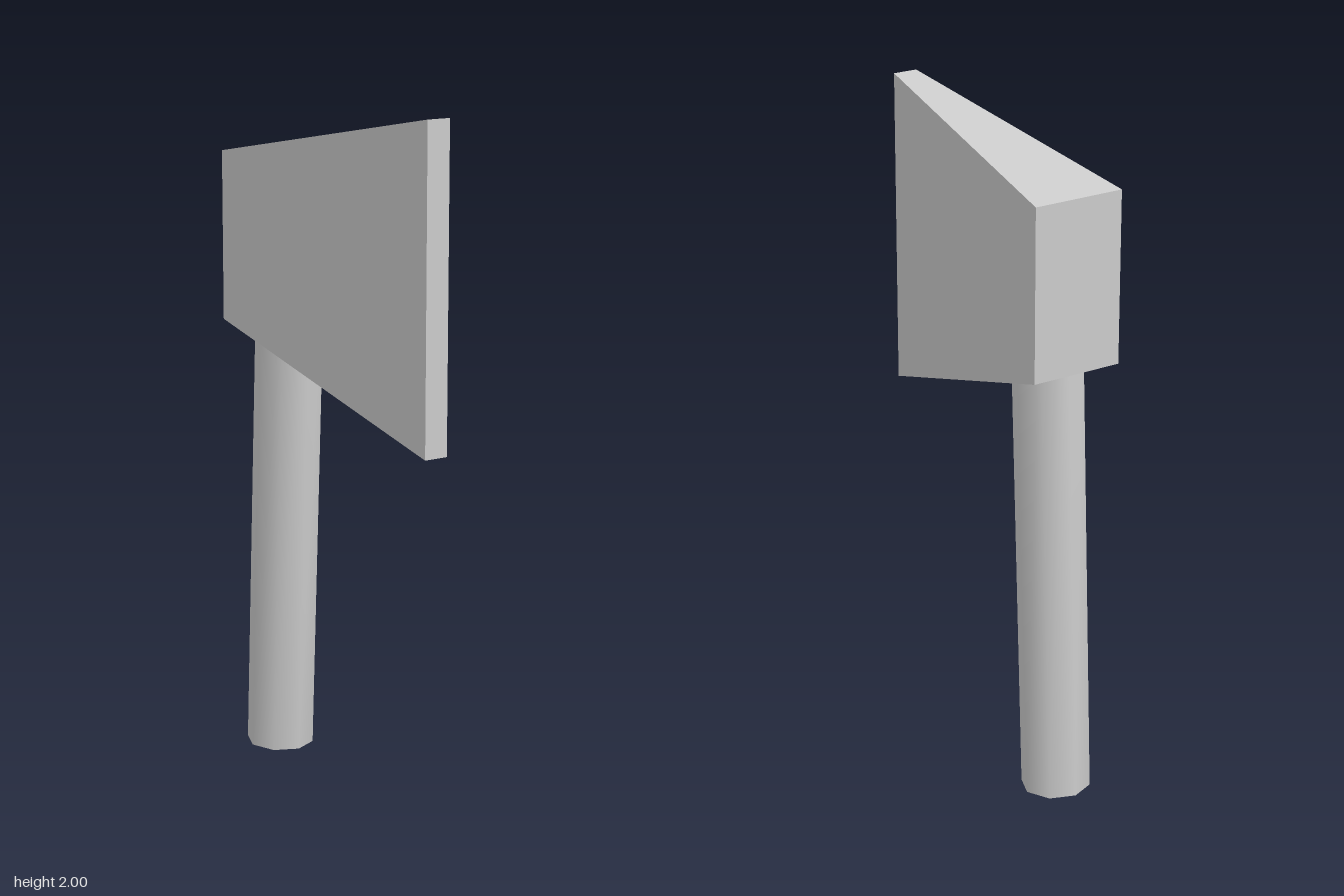
import * as THREE from 'three';
import { mergeVertices } from 'three/addons/utils/BufferGeometryUtils.js';

const grey = new THREE.MeshStandardMaterial({ color: 0xcccccc });
grey.name = 'plain grey';

// Wedge head: a box whose +x end is taller and thinner than its -x end
function makeHead() {
  const poll = { x: -0.423, low: 1.338, high: 1.844, halfDepth: 0.142 };
  const blade = { x: 0.447, low: 1.055, high: 2, halfDepth: 0.038 };
  const geometry = new THREE.BoxGeometry(1, 1, 1);
  const p = geometry.attributes.position;
  for (let i = 0; i < p.count; i++) {
    const end = p.getX(i) < 0 ? poll : blade;
    p.setXYZ(i, end.x, p.getY(i) < 0 ? end.low : end.high, Math.sign(p.getZ(i)) * end.halfDepth);
  }
  geometry.computeVertexNormals();
  const head = new THREE.Mesh(geometry, grey);
  head.name = 'axeHead';
  return head;
}

// Eight-sided handle, shaded smoothly over its end caps, leaning slightly
function makeHandle() {
  const length = 1.6;
  let geometry = new THREE.CylinderGeometry(0.103, 0.103, length, 8);
  geometry.translate(0, length / 2, 0);
  geometry.deleteAttribute('normal');
  geometry.deleteAttribute('uv');
  geometry = mergeVertices(geometry);
  geometry.computeVertexNormals();
  const handle = new THREE.Mesh(geometry, grey);
  handle.name = 'handle';
  handle.position.set(-0.344, 0.005, 0);
  handle.rotation.z = -0.046;
  return handle;
}

export function createModel() {
  const axe = new THREE.Group();
  axe.name = 'axe';
  axe.add(makeHead(), makeHandle());
  return axe;
}
